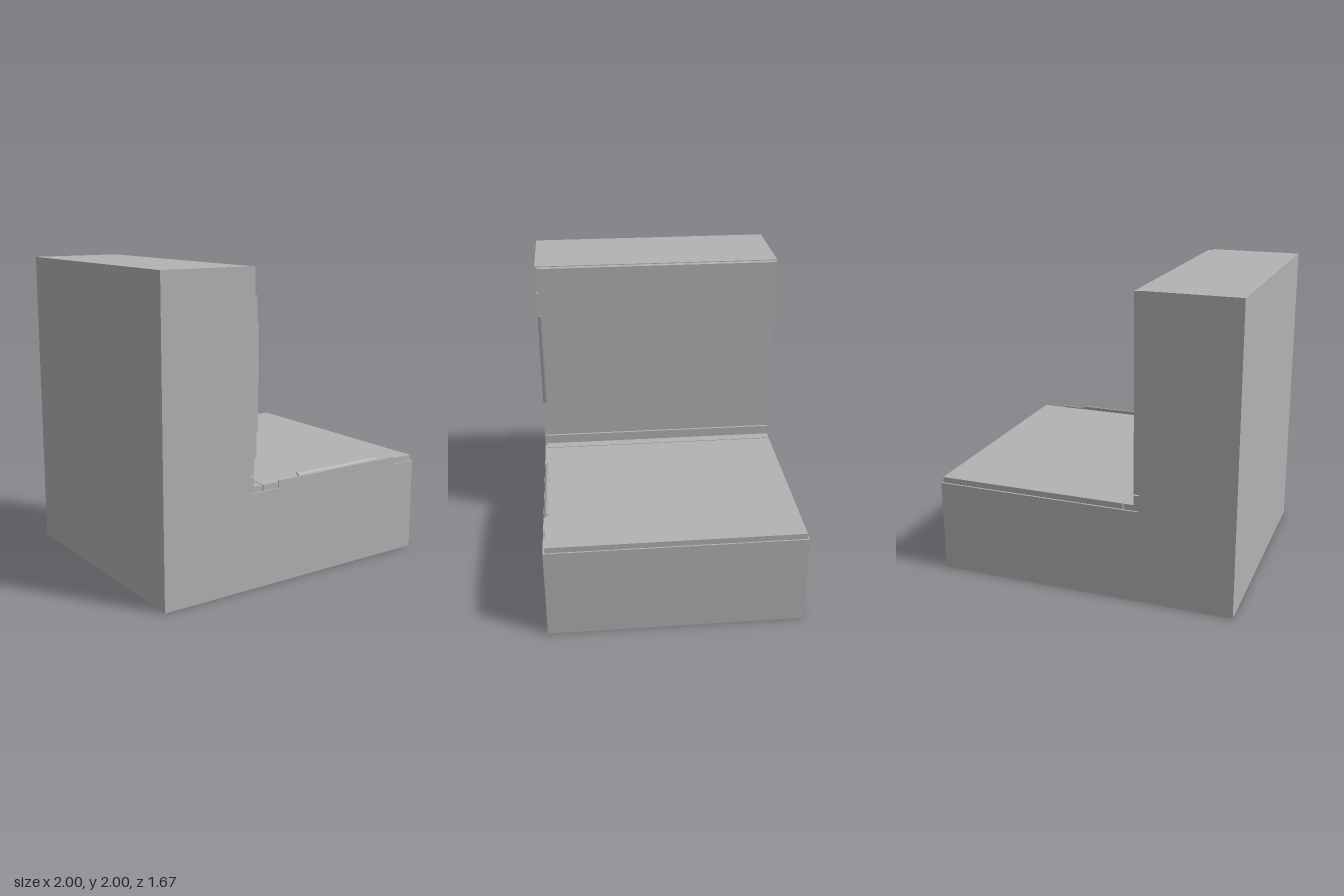
import * as THREE from 'three';
import { toCreasedNormals } from 'three/addons/utils/BufferGeometryUtils.js';

const grey = new THREE.MeshStandardMaterial({ color: 0xb2b2b2 });
grey.name = 'grey';

const DEPTH = 1.67;        // block depth
const PANEL_DEPTH = 1.645; // lining depth, slightly inset
const SURFACE_Y = 0.62;    // top of the low block
const SURFACE_X = -0.385;  // face of the tall block

function mesh(name, geometry) {
  const m = new THREE.Mesh(geometry, grey);
  m.name = name;
  return m;
}

// Polygon extruded along z and centred on z = 0
function prism(points, depth) {
  const shape = new THREE.Shape(points.map(([x, y]) => new THREE.Vector2(x, y)));
  return new THREE.ExtrudeGeometry(shape, { depth, bevelEnabled: false }).translate(0, 0, -depth / 2);
}

// Flat lining with a raised edge strip and a curled lip at the front, lying on y = 0
function liningPanel(name, shift) {
  const group = new THREE.Group();
  group.name = name;
  group.add(mesh('panel', new THREE.BoxGeometry(1.265, 0.038, PANEL_DEPTH).translate(0, 0.019, 0)));
  group.add(mesh('edgeStrip', new THREE.BoxGeometry(0.98, 0.049, 0.01).translate(shift, 0.0245, 0.825)));

  // Lip cross-section: x is depth, y is height, curling inward over the panel
  const s = new THREE.Shape();
  s.moveTo(0.82, 0.02);
  s.lineTo(0.83, 0.02);
  s.lineTo(0.83, 0.045);
  s.quadraticCurveTo(0.83, 0.07, 0.798, 0.07);
  s.lineTo(0.798, 0.062);
  s.quadraticCurveTo(0.82, 0.062, 0.82, 0.043);
  s.closePath();
  const lip = new THREE.ExtrudeGeometry(s, { depth: 0.665, bevelEnabled: false, curveSegments: 8 });
  lip.translate(0, 0, -0.3325).rotateY(-Math.PI / 2).translate(shift, 0, 0);
  group.add(mesh('curledLip', toCreasedNormals(lip, 0.6)));
  return group;
}

export function createModel() {
  const model = new THREE.Group();
  model.name = 'linedCornerBlock';

  // Solid L-shaped body
  model.add(mesh('body', prism([
    [-1, 0], [1, 0], [1, SURFACE_Y], [SURFACE_X, SURFACE_Y], [SURFACE_X, 2], [-1, 2],
  ], DEPTH)));

  // Angle strip in the inner corner
  model.add(mesh('cornerStrip', prism([
    [SURFACE_X, SURFACE_Y], [-0.281, SURFACE_Y], [-0.281, 0.658],
    [-0.347, 0.658], [-0.347, 0.722], [SURFACE_X, 0.722],
  ], PANEL_DEPTH)));

  // Lining on the low block
  const lower = liningPanel('lowerLining', -0.027);
  lower.position.set(0.358, SURFACE_Y, 0);
  model.add(lower);

  // Lining on the tall block
  const upright = liningPanel('uprightLining', 0.027);
  upright.rotation.z = -Math.PI / 2;
  upright.position.set(SURFACE_X, 1.3625, 0);
  model.add(upright);

  return model;
}
